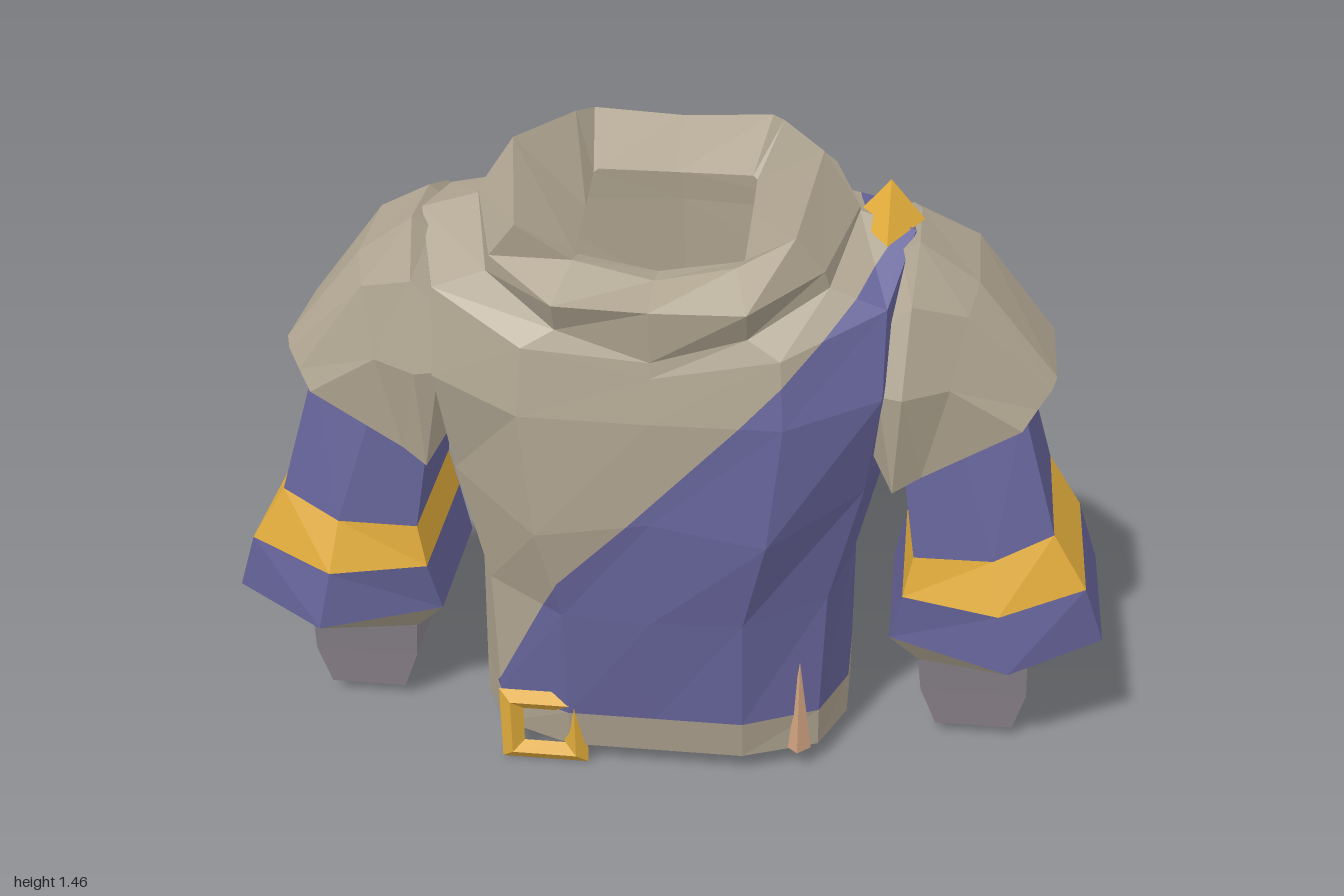
import * as THREE from 'three';

const mat = (name, color) => {
  const m = new THREE.MeshStandardMaterial({ color, side: THREE.DoubleSide });
  m.name = name;
  return m;
};

// Joins successive closed rings of points into triangles
function loft(rings) {
  const tris = [];
  for (let r = 0; r + 1 < rings.length; r++) {
    const p = rings[r], q = rings[r + 1], n = p.length;
    for (let i = 0; i < n; i++) {
      const j = (i + 1) % n;
      tris.push([p[i], p[j], q[j]], [p[i], q[j], q[i]]);
    }
  }
  return tris;
}

// Triangle fan closing a ring
const fan = (ring, c) => ring.map((p, i) => [c, p, ring[(i + 1) % ring.length]]);

// Completes a front-to-back half outline with its mirror image
const full = (half) => [...half, ...half.slice(1, -1).reverse().map(([x, y, z]) => [-x, y, z])];

// Keeps the part of a polygon where f <= 0
function clip(poly, f) {
  const out = [];
  poly.forEach((a, i) => {
    const b = poly[(i + 1) % poly.length], fa = f(a), fb = f(b);
    if (fa <= 0) out.push(a);
    if ((fa < 0 && fb > 0) || (fa > 0 && fb < 0)) {
      const t = fa / (fa - fb);
      out.push(a.map((v, k) => v + (b[k] - v) * t));
    }
  });
  return out;
}

// Faceted mesh from polygons, mirrored in x when side is -1
function facets(name, polys, material, side = 1) {
  const pos = [];
  for (const poly of polys) {
    for (let i = 1; i + 1 < poly.length; i++) {
      const t = side > 0 ? [poly[0], poly[i], poly[i + 1]] : [poly[0], poly[i + 1], poly[i]];
      t.forEach(([x, y, z]) => pos.push(side * x, y, z));
    }
  }
  const g = new THREE.BufferGeometry();
  g.setAttribute('position', new THREE.Float32BufferAttribute(pos, 3));
  g.computeVertexNormals();
  const m = new THREE.Mesh(g, material);
  m.name = name;
  return m;
}

// Six-sided sleeve ring: inner, middle and outer [x, y], z half-widths, z centre
const hex = ([xi, yi], [xm, ym], [xo, yo], hm, ho, zc) => [
  [xm, ym, zc + hm], [xo, yo, zc + ho], [xo, yo, zc - ho],
  [xm, ym, zc - hm], [xi, yi, zc - ho], [xi, yi, zc + ho]];

// Level rectangle ring
const rect = (x0, x1, y, z0, z1) => [[x0, y, z1], [x1, y, z1], [x1, y, z0], [x0, y, z0]];

export function createModel() {
  const group = new THREE.Group();
  const cloth = mat('stone cloth', 0xb0a591), blue = mat('blue cloth', 0x68669c);
  const gold = mat('gold', 0xe4ae3c), grey = mat('grey glove', 0x8f8790), tan = mat('tan lining', 0xd2a481);
  const add = (...a) => group.add(facets(...a));

  // Torso outlines, bottom to top
  const hem = full([[0, .055, .25], [.2, .055, .25], [.37, .055, .18], [.43, .055, .04], [.43, .055, -.13], [.34, .055, -.24], [0, .055, -.28]]);
  const waist = full([[0, .157, .27], [.2, .157, .27], [.37, .157, .19], [.43, .157, .04], [.43, .157, -.13], [.34, .157, -.24], [0, .157, -.28]]);
  const base = full([[0, 1.105, .34], [.2, 1.16, .32], [.36, 1.24, .22], [.41, 1.33, .02], [.38, 1.3, -.16], [.24, 1.27, -.28], [0, 1.27, -.29]]);
  const body = loft([
    waist,
    full([[0, .45, .32], [.2, .45, .31], [.38, .47, .2], [.43, .5, .03], [.43, .5, -.13], [.34, .45, -.25], [0, .45, -.29]]),
    full([[0, .72, .35], [.25, .68, .355], [.45, .75, .2], [.5, .77, 0], [.49, .77, -.14], [.38, .75, -.28], [0, .77, -.33]]),
    full([[0, .97, .36], [.28, .97, .355], [.48, 1, .25], [.53, 1, 0], [.51, 1, -.18], [.41, .97, -.29], [0, .95, -.32]]),
    full([[0, 1.07, .345], [.27, 1.12, .335], [.48, 1.19, .21], [.53, 1.3, .04], [.51, 1.27, -.17], [.41, 1.19, -.28], [0, 1.2, -.3]]),
    base]);

  // Diagonal wrap: blue below the sash line, stone cloth above it
  const chest = [], wrap = [];
  const f1 = ([x, y]) => y - .54 - 1.08 * (x + .21);
  const f2 = ([x, y]) => y - .54 - 2.2 * (x + .21);
  const fb = ([x, y]) => y - .15 - 1.44 * (x + .39);
  const not = (f) => (p) => -f(p);
  for (const t of body) {
    const front = clip(t, (p) => -p[2]), back = clip(t, (p) => p[2]);
    const low = clip(front, f1);
    wrap.push(clip(low, f2), clip(back, fb));
    chest.push(clip(front, not(f1)), clip(low, not(f2)), clip(back, not(fb)));
  }
  add('upperTunic', chest, cloth);
  add('blueWrap', wrap, blue);
  add('hemBand', loft([hem, waist]), cloth);

  // Lining seen from below, rising steeply to a square opening
  const hole = full([[0, .45, .18], [.17, .45, .18], [.18, .45, .17], [.18, .45, 0], [.18, .45, -.12], [.17, .45, -.13], [0, .45, -.13]]);
  add('hemLining', loft([hole, hem]), tan);

  // Cowl collar: outer fold, rim and shallow inner funnel
  add('collar', loft([
    base,
    full([[0, 1.225, .355], [.2, 1.23, .355], [.35, 1.28, .23], [.41, 1.34, .02], [.35, 1.36, -.17], [.24, 1.33, -.285], [0, 1.33, -.29]]),
    full([[0, 1.25, .25], [.17, 1.29, .255], [.29, 1.36, .25], [.33, 1.46, .02], [.23, 1.44, -.2], [.2, 1.42, -.28], [0, 1.41, -.28]]),
    full([[0, 1.24, .18], [.17, 1.27, .18], [.18, 1.27, .17], [.18, 1.3, 0], [.18, 1.33, -.12], [.17, 1.335, -.13], [0, 1.335, -.13]]),
  ]), cloth);

  // Shoulder cap sections, outer to inner
  const capEnd = [[.78, .89, .15], [.81, .93, .12], [.84, .96, .08], [.85, .975, .05], [.85, .97, -.2], [.84, .96, -.21], [.81, .93, -.24], [.78, .89, -.25]];
  const cap = loft([
    capEnd,
    [[.57, .78, .18], [.62, 1, .19], [.65, 1.15, .14], [.67, 1.2, .07], [.67, 1.21, -.16], [.66, 1.17, -.21], [.62, 1, -.27], [.57, .78, -.25]],
    [[.51, .76, .22], [.52, 1, .25], [.53, 1.19, .19], [.54, 1.3, .1], [.54, 1.3, -.08], [.52, 1.27, -.18], [.45, 1.12, -.292], [.46, .79, -.27]],
    [[.46, .84, .18], [.47, 1, .235], [.475, 1.14, .19], [.5, 1.27, .08], [.5, 1.27, -.08], [.47, 1.22, -.17], [.4, 1.1, -.27], [.42, .84, -.23]],
  ]).concat(fan([...capEnd].reverse(), [.74, .9, -.05]));

  // Sleeve outlines, bottom to top
  const wrist = hex([.59, .235], [.71, .235], [.84, .235], .14, .12, -.05);
  const cuff = hex([.52, .31], [.79, .295], [1, .34], .28, .18, -.08);
  const bandLow = hex([.545, .44], [.76, .44], [.95, .49], .25, .19, -.06);
  const bandTop = hex([.565, .54], [.74, .56], [.87, .62], .21, .18, -.06);
  const sleeveTop = hex([.53, .77], [.65, .84], [.78, .93], .175, .155, -.05);
  const tip = rect(.64, .82, .03, -.13, .03);
  const forearm = loft([tip, rect(.6, .845, .14, -.145, .055), rect(.59, .84, .24, -.175, .08)])
    .concat(fan([...tip].reverse(), [.73, .03, -.05]));

  for (const side of [1, -1]) {
    const s = side > 0 ? 'left' : 'right';
    add(s + 'ShoulderCap', cap, cloth, side);
    add(s + 'UpperSleeve', loft([bandTop, sleeveTop]), blue, side);
    add(s + 'SleeveBand', loft([bandLow, bandTop]), gold, side);
    add(s + 'Cuff', loft([cuff, bandLow]), blue, side);
    add(s + 'CuffUnderside', loft([wrist, cuff]), cloth, side);
    add(s + 'Forearm', forearm, grey, side);
  }

  // Square belt buckle
  const buckle = new THREE.Mesh(new THREE.TorusGeometry(.105, .038, 4, 4).rotateZ(Math.PI / 4).toNonIndexed(), gold);
  buckle.geometry.computeVertexNormals();
  buckle.name = 'beltBuckle';
  buckle.scale.z = .45;
  buckle.position.set(-.26, .103, .25);
  buckle.rotation.x = .08;
  group.add(buckle);

  // Pointed shoulder clasp and the small slits in the hem
  const spike = (name, material, [x, y, z], [w, h, d], lean = 0) => {
    const g = new THREE.ConeGeometry(1, 1, 4).toNonIndexed();
    g.computeVertexNormals();
    const m = new THREE.Mesh(g, material);
    m.name = name;
    m.scale.set(w, h, d);
    m.position.set(x, y + h / 2, z);
    m.rotation.x = lean;
    group.add(m);
  };
  spike('shoulderClasp', gold, [.472, 1.3, -.02], [.075, .087, .155]);
  spike('frontSlit', tan, [.325, .058, .212], [.03, .25, .025], .08);
  for (const x of [.35, -.35]) spike('backSlit', tan, [x, .058, -.235], [.04, .21, .03], -.05);

  return group;
}
